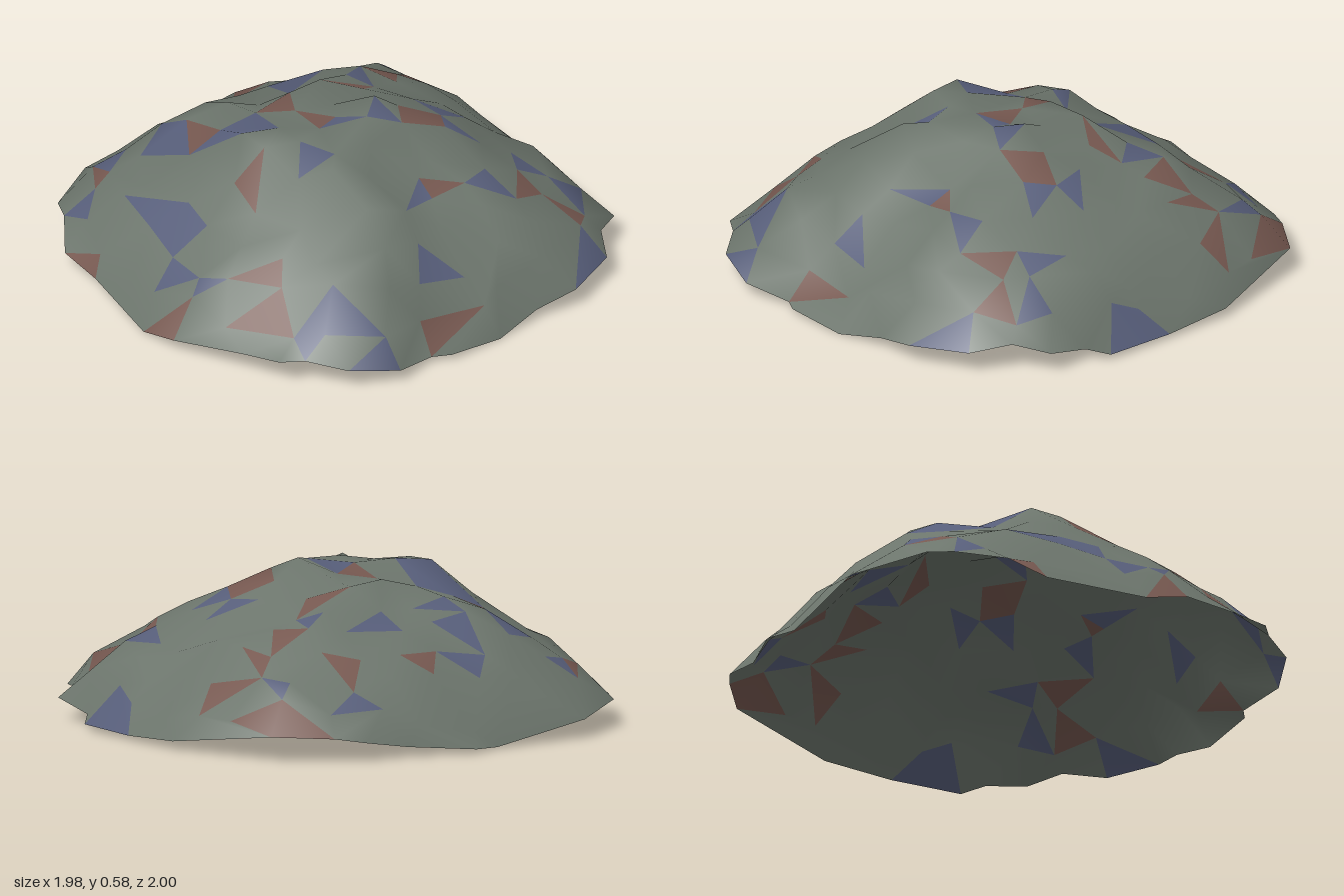
import * as THREE from 'three';

// rim outline seen from above, as x, z pairs
const RIM = [[0.99, 0.05], [0.92, 0.27], [0.8, 0.38], [0.7, 0.54], [0.56, 0.72], [0.49, 0.74], [0.41, 0.9],
  [0.24, 0.99], [0.08, 0.98], [-0.01, 1], [-0.15, 0.95], [-0.42, 0.85], [-0.55, 0.74], [-0.78, 0.45],
  [-0.91, 0.35], [-0.95, 0.16], [-0.99, 0.07], [-0.95, -0.23], [-0.7, -0.53], [-0.65, -0.65], [-0.43, -0.78],
  [-0.31, -0.91], [-0.2, -0.95], [0.02, -1], [0.42, -0.81], [0.62, -0.63], [0.82, -0.44], [0.83, -0.35],
  [0.96, -0.24], [0.94, -0.1]];
const TAU = Math.PI * 2;
const rim = RIM.map(([x, z]) => ({ a: (Math.atan2(z, x) + TAU) % TAU, r: Math.hypot(x, z) })).sort((p, q) => p.a - q.a);

// seeded random numbers
let seed = 11;
const rand = () => (seed = (seed * 16807) % 2147483647) / 2147483647;
const jitter = (s) => (rand() - 0.5) * 2 * s;

// rim radius in any direction
function rimRadius(a) {
  a = (a + TAU) % TAU;
  const n = rim.length;
  let j = rim.findIndex((p) => p.a > a);
  if (j < 0) j = 0;
  const p = rim[(j + n - 1) % n], q = rim[j];
  const span = (q.a - p.a + TAU) % TAU;
  return THREE.MathUtils.lerp(p.r, q.r, ((a - p.a + TAU) % TAU) / span);
}

// dome profile (share of rim radius, height) and local lumps (x, z, height, width)
const PROFILE = [[0, 0.53], [0.2, 0.53], [0.3, 0.5], [0.45, 0.43], [0.6, 0.37], [0.7, 0.31], [0.8, 0.25], [0.9, 0.16], [1, 0.06]];
const LUMPS = [[0.15, -0.03, 0.06, 0.13], [-0.28, 0.27, 0.11, 0.15], [0.14, 0.48, 0.1, 0.17],
  [0.25, 0.86, 0.12, 0.12], [-0.5, -0.1, 0.04, 0.15], [0.56, 0.05, 0.03, 0.15], [-0.1, 0.8, -0.03, 0.12]];
function height(x, z, t) {
  const i = Math.max(1, PROFILE.findIndex((p) => p[0] >= t));
  const [a, b] = [PROFILE[i - 1], PROFILE[i]];
  let y = THREE.MathUtils.lerp(a[1], b[1], (t - a[0]) / (b[0] - a[0]));
  const fade = Math.min(1, (1 - t) * 8);
  for (const [lx, lz, h, w] of LUMPS) y += fade * h * Math.exp(-((x - lx) ** 2 + (z - lz) ** 2) / (w * w));
  // the rim dips at the four diagonals
  return y + 0.045 * Math.cos(4 * Math.atan2(z, x)) * t ** 4;
}

// rings of vertices from the rim to the summit
const RINGS = [[1, 30], [0.91, 30], [0.8, 27], [0.68, 24], [0.55, 20], [0.41, 16], [0.27, 10], [0.13, 5], [0, 1]];

function shellGeometry() {
  const pos = [], index = [], rings = [];
  RINGS.forEach(([t, count], k) => {
    const ring = [];
    for (let i = 0; i < count; i++) {
      const inner = k > 0 && count > 1;
      const a = k === 0 ? rim[i].a : ((i + (k % 2) / 2 + (inner ? jitter(0.28) : 0)) / count) * TAU;
      const s = t + (inner ? jitter(0.03) : 0);
      const r = s * rimRadius(a), x = r * Math.cos(a), z = r * Math.sin(a);
      ring.push({ a, id: pos.length / 3 });
      pos.push(x, height(x, z, s) + jitter(k === 0 ? 0.015 : 0.025), z);
    }
    rings.push(ring);
  });
  // stitch neighbouring rings, stepping along whichever side lags in angle
  for (let k = 0; k + 1 < rings.length; k++) {
    const out = rings[k], inn = rings[k + 1];
    const at = (ring, i) => ring[i % ring.length].id;
    const angle = (ring, i) => ring[i % ring.length].a + Math.floor(i / ring.length) * TAU;
    const innerSteps = inn.length > 1 ? inn.length : 0;
    let i = 0, j = 0;
    while (i < out.length || j < innerSteps) {
      const stepOut = j >= innerSteps || (i < out.length && angle(out, i + 1) <= angle(inn, j + 1));
      if (stepOut) index.push(at(out, i), at(inn, j), at(out, ++i));
      else index.push(at(out, i), at(inn, j), at(inn, ++j));
    }
  }
  const geo = new THREE.BufferGeometry();
  geo.setAttribute('position', new THREE.Float32BufferAttribute(pos, 3));
  geo.setIndex(index);
  geo.computeVertexNormals();
  geo.computeBoundingBox();
  geo.translate(0, -geo.boundingBox.min.y, 0);
  return geo;
}

export function createModel() {
  const group = new THREE.Group();
  group.name = 'rockMound';
  const shell = shellGeometry();
  // share the faces between plain stone and scattered tinted facets
  const parts = [
    { name: 'stoneShell', color: 0x6c756c, faces: [] },
    { name: 'redFacets', color: 0x765850, faces: [] },
    { name: 'blueFacets', color: 0x575e7a, faces: [] },
  ];
  const idx = shell.index.array;
  for (let f = 0; f < idx.length; f += 3) {
    const v = rand();
    parts[v < 0.1 ? 1 : v < 0.22 ? 2 : 0].faces.push(idx[f], idx[f + 1], idx[f + 2]);
  }
  for (const { name, color, faces } of parts) {
    const geo = shell.clone();
    geo.setIndex(faces);
    const mesh = new THREE.Mesh(geo.toNonIndexed(), new THREE.MeshStandardMaterial({ color, side: THREE.DoubleSide }));
    mesh.name = name;
    group.add(mesh);
  }
  return group;
}
